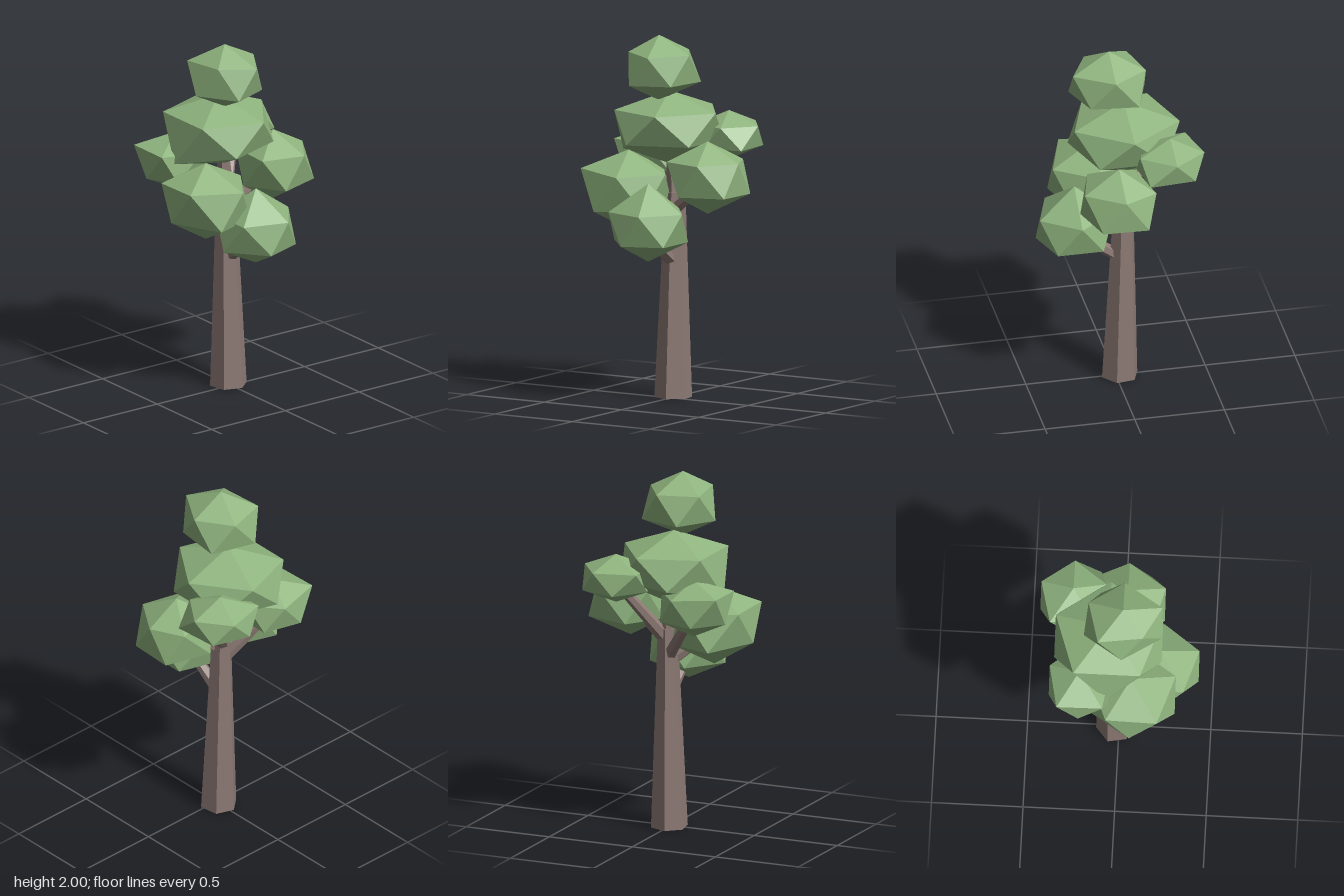
import * as THREE from 'three';

// Icosahedron standing on a vertex: apex 0, upper ring 1-5, lower ring 6-10, base 11.
// Each tweak [vertex, dx, dy, dz] roughens the regular shape.
function leafGeometry([rx, ry, rz], tweaks) {
  const verts = [0, ry, 0];
  for (const [y, turn] of [[0.447, 0], [-0.447, 0.5]]) {
    for (let i = 0; i < 5; i++) {
      const a = (i + turn) * Math.PI * 0.4;
      verts.push(0.894 * rx * Math.cos(a), y * ry, 0.894 * rz * Math.sin(a));
    }
  }
  verts.push(0, -ry, 0);
  for (const [v, ...shift] of tweaks) shift.forEach((d, k) => { verts[v * 3 + k] += d; });

  const faces = [];
  for (let i = 0; i < 5; i++) {
    const j = (i + 1) % 5;
    const u = 1 + i, un = 1 + j, l = 6 + i, ln = 6 + j;
    faces.push(0, un, u, u, un, l, l, un, ln, 11, l, ln);
  }
  const indexed = new THREE.BufferGeometry();
  indexed.setAttribute('position', new THREE.Float32BufferAttribute(verts, 3));
  indexed.setIndex(faces);
  const geo = indexed.toNonIndexed();
  geo.computeVertexNormals();
  return geo;
}

export function createModel() {
  const tree = new THREE.Group();
  tree.name = 'tree';
  const bark = new THREE.MeshStandardMaterial({ color: 0x8d7a74, flatShading: true });
  const foliage = new THREE.MeshStandardMaterial({ color: 0x8fb47e, flatShading: true });

  // Tapered six-sided limb between two points
  function limb(name, from, to, r0, r1) {
    const a = new THREE.Vector3(...from);
    const dir = new THREE.Vector3(...to).sub(a);
    const length = dir.length();
    const geo = new THREE.CylinderGeometry(r1, r0, length, 6, 1, false, Math.PI / 18);
    geo.translate(0, length / 2, 0);
    const mesh = new THREE.Mesh(geo, bark);
    mesh.name = name;
    mesh.position.copy(a);
    mesh.quaternion.setFromUnitVectors(new THREE.Vector3(0, 1, 0), dir.normalize());
    tree.add(mesh);
  }

  // Trunk, leader and side branches
  limb('trunk', [0, 0, -0.023], [0, 1.13, -0.045], 0.104, 0.056);
  limb('leader', [0, 1.1, -0.045], [-0.03, 1.48, -0.05], 0.048, 0.026);
  limb('frontBranch', [0, 0.76, 0], [0, 0.91, 0.22], 0.036, 0.026);
  limb('leftBranch', [0, 1.03, -0.03], [0.22, 1.2, 0.02], 0.036, 0.026);
  limb('rightBranch', [0, 0.93, -0.02], [-0.2, 1.09, 0.08], 0.036, 0.026);
  limb('backLeftBranch', [0.01, 1.08, -0.06], [0.19, 1.37, -0.23], 0.038, 0.026);
  limb('backRightBranch', [-0.01, 0.97, -0.05], [-0.21, 1.24, -0.2], 0.038, 0.026);

  // Leaf clusters: name, centre, radii, vertex tweaks
  const clusters = [
    ['topLeaves', [-0.06, 1.82, 0.025], [0.218, 0.18, 0.25],
      [[3, 0.03, 0.01, -0.02], [5, 0.01, 0, 0.02], [10, 0.03, 0, 0]]],
    ['crownLeaves', [-0.045, 1.495, -0.055], [0.333, 0.19, 0.345],
      [[8, 0, -0.07, 0], [11, 0.04, -0.03, 0]]],
    ['frontLeaves', [0, 0.97, 0.23], [0.245, 0.19, 0.242],
      [[0, 0, 0.05, 0], [7, 0.02, 0, 0]]],
    ['leftLeaves', [0.26, 1.24, 0.035], [0.222, 0.2, 0.24],
      [[3, -0.015, 0, 0.015], [5, 0.05, 0, 0.02], [6, 0.025, 0, 0], [10, 0.035, 0, 0]]],
    ['rightLeaves', [-0.225, 1.14, 0.075], [0.263, 0.22, 0.285],
      [[3, -0.025, 0.02, 0], [4, -0.015, 0.01, 0.02], [8, 0, 0.02, 0]]],
    ['backLeftLeaves', [0.21, 1.435, -0.26], [0.21, 0.135, 0.21],
      [[4, -0.025, 0, -0.01], [6, 0.02, 0, 0.035]]],
    ['backRightLeaves', [-0.23, 1.3, -0.205], [0.213, 0.16, 0.195],
      [[3, -0.03, 0.015, 0.03], [4, -0.035, 0.02, -0.015], [7, -0.04, 0, 0]]],
  ];
  for (const [name, centre, radii, tweaks] of clusters) {
    const mesh = new THREE.Mesh(leafGeometry(radii, tweaks), foliage);
    mesh.name = name;
    mesh.position.set(...centre);
    tree.add(mesh);
  }
  return tree;
}
